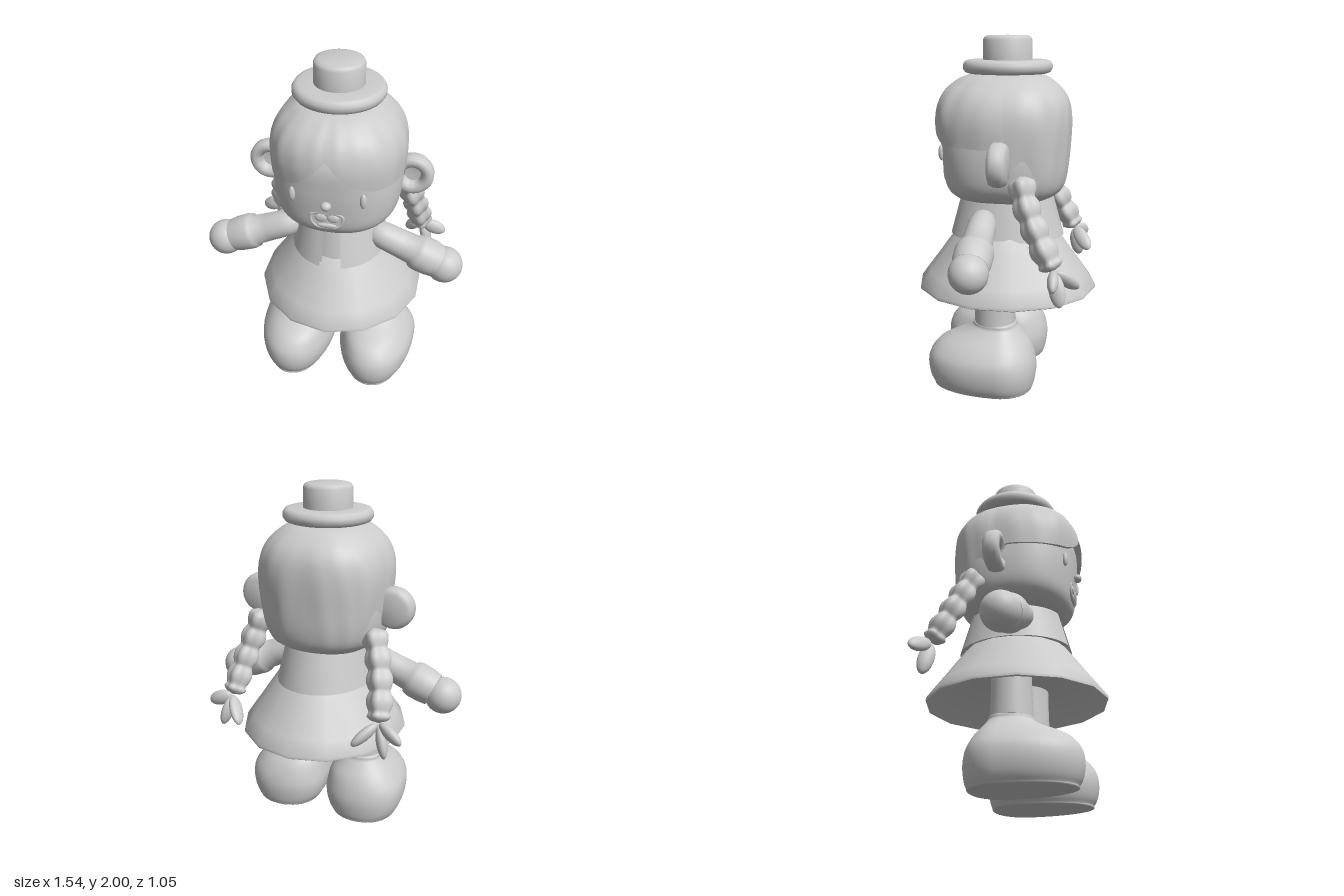
import * as THREE from 'three';
import { toCreasedNormals } from 'three/addons/utils/BufferGeometryUtils.js';

const CX = 0.025; // centre line of the doll
const V = (x, y, z) => new THREE.Vector3(x, y, z);
const spow = (v, p) => Math.sign(v) * Math.abs(v) ** p;

// closed-around surface: fn(angle, v) -> Vector3, v running from bottom to top
function grid(fn, nu, nv) {
  const pos = [], idx = [];
  for (let j = 0; j <= nv; j++)
    for (let i = 0; i < nu; i++) {
      const p = fn((i / nu) * Math.PI * 2, j / nv);
      pos.push(p.x, p.y, p.z);
    }
  for (let j = 0; j < nv; j++)
    for (let i = 0; i < nu; i++) {
      const a = j * nu + i, b = j * nu + (i + 1) % nu;
      idx.push(a, b, b + nu, a, b + nu, a + nu);
    }
  const g = new THREE.BufferGeometry();
  g.setAttribute('position', new THREE.Float32BufferAttribute(pos, 3));
  g.setIndex(idx);
  g.computeVertexNormals();
  return g;
}

// smooth reading of rows [y, x centre, half width, back, front] at t in 0..1
function sample(rows, t) {
  const f = t * (rows.length - 1), i = Math.min(Math.floor(f), rows.length - 2), u = f - i;
  const at = k => rows[Math.max(0, Math.min(rows.length - 1, k))];
  return rows[0].map((_, c) => {
    const [a, b, d, e] = [at(i - 1)[c], at(i)[c], at(i + 1)[c], at(i + 2)[c]];
    return b + 0.5 * u * (d - a + u * (2 * a - 5 * b + 4 * d - e + u * (3 * (b - d) + e - a)));
  });
}
function ringPoint([y, x0, hx, zb, zf], a, e, scale = 1) {
  const s = spow(Math.sin(a), 2 / e) * scale, c = spow(Math.cos(a), 2 / e) * scale;
  return V(x0 + hx * s, y, c > 0 ? zf * c : -zb * c);
}
const loft = (rows, e, nu, nv) => grid((a, v) => ringPoint(sample(rows, v), a, e), nu, nv);

const lathe = (pts, n = 40, crease = 0.7, start = 0, len = Math.PI * 2) =>
  toCreasedNormals(new THREE.LatheGeometry(pts.map(p => new THREE.Vector2(...p)), n, start, len), crease);

export function createModel() {
  const grey = new THREE.MeshStandardMaterial({ color: 0xcccccc });
  const greyOpen = grey;
  greyOpen.side = THREE.DoubleSide;
  const model = new THREE.Group();
  const add = (name, geo, x = 0, y = 0, z = 0) => {
    const m = new THREE.Mesh(geo, grey);
    m.name = name;
    m.position.set(x, y, z);
    model.add(m);
    return m;
  };
  const aim = (m, from, to) =>
    m.quaternion.setFromUnitVectors(V(0, 1, 0), to.clone().sub(from).normalize());
  const ball = (name, p, r, sx = 1, sy = 1, sz = 1) => {
    const m = add(name, new THREE.SphereGeometry(r, 28, 20), p.x, p.y, p.z);
    m.scale.set(sx, sy, sz);
    return m;
  };

  // hat
  add('hatBrim', lathe([[0, -0.03], [0.22, -0.037], [0.24, -0.03], [0.253, -0.012], [0.253, 0.012],
    [0.24, 0.032], [0.22, 0.038], [0.13, 0.038]], 48, 0.9), CX - 0.005, 1.827, 0);
  add('hatCrown', lathe([[0.138, 0], [0.138, 0.125], [0.13, 0.142], [0.11, 0.149], [0, 0.151]], 48, 0.9),
    CX - 0.005, 1.849, 0);

  // head
  add('head', loft([[1.078, CX, 0, 0, 0], [1.08, CX, 0.2, -0.2, 0.24], [1.105, CX, 0.275, -0.26, 0.305],
    [1.16, CX, 0.333, -0.3, 0.343], [1.26, CX, 0.358, -0.33, 0.36], [1.4, CX, 0.36, -0.33, 0.372],
    [1.55, CX, 0.34, -0.32, 0.365], [1.68, CX, 0.25, -0.25, 0.27], [1.74, CX, 0, 0, 0]], 2.5, 64, 40));

  // hair: dome whose lower edge is parted in front and drops behind the ears
  const hairRows = [[1.08, CX, 0.22, -0.23, 0.28], [1.13, CX, 0.3, -0.31, 0.35], [1.22, CX, 0.345, -0.345, 0.38],
    [1.38, CX, 0.37, -0.36, 0.395], [1.54, CX, 0.376, -0.365, 0.408], [1.65, CX, 0.345, -0.345, 0.385],
    [1.73, CX, 0.28, -0.285, 0.32], [1.785, CX, 0.18, -0.19, 0.21], [1.8, CX, 0, 0, 0]];
  const tAtY = y => {
    let lo = 0, hi = 1;
    for (let k = 0; k < 24; k++) {
      const m = (lo + hi) / 2;
      if (sample(hairRows, m)[0] < y) lo = m; else hi = m;
    }
    return lo;
  };
  const hairEdge = d => THREE.MathUtils.lerp(1.405 + 0.2 * Math.exp(-d / 0.27), 1.082,
    THREE.MathUtils.smoothstep(d, 1.52, 1.72));
  add('hair', grid((a, v) => {
    const d = Math.min(a, Math.PI * 2 - a), t0 = tAtY(hairEdge(d));
    const w = Math.max(0, (v - 0.05) / 0.95), row = sample(hairRows, t0 + (1 - t0) * w);
    const strands = 0.008 * Math.sin(9 * d + 5 * row[0]) + 0.005 * Math.sin(17 * d - 7 * row[0]);
    const part = -0.03 * Math.exp(-((d / 0.08) ** 2));
    return ringPoint(row, a, 2.35, v === 0 ? 0.86 : 1 + (strands + part) * Math.sin(Math.PI * Math.min(1, w + 0.15)));
  }, 128, 40));

  // ears with a dished front
  const earGeo = lathe([[0, -0.05], [0.085, -0.05], [0.108, -0.04], [0.119, -0.015], [0.119, 0.025],
    [0.108, 0.045], [0.09, 0.051], [0.066, 0.048], [0.052, 0.03], [0.045, 0.005], [0, 0]], 40, 1);
  earGeo.rotateX(Math.PI / 2);
  for (const s of [1, -1]) {
    const side = s > 0 ? 'left' : 'right';
    add(side + 'Ear', earGeo, CX + s * 0.41, 1.338, -0.025);
    ball(side + 'Eye', V(CX + s * 0.192, 1.36, 0.343), 0.018, 1, 2.45, 0.9);
  }
  ball('nose', V(CX, 1.328, 0.382), 0.029, 1, 0.85, 0.9);

  // open mouth: rim, dark plate, teeth and tongue
  const rim = new THREE.CatmullRomCurve3([[-0.088, 0.03], [-0.06, 0.044], [0, 0.038], [0.06, 0.044], [0.088, 0.03],
    [0.08, -0.02], [0.05, -0.044], [0, -0.048], [-0.05, -0.044], [-0.08, -0.02]].map(p => V(p[0], p[1], 0)), true);
  add('mouthRim', new THREE.TubeGeometry(rim, 64, 0.009, 8, true), CX - 0.002, 1.219, 0.352);
  add('mouthInside', new THREE.ShapeGeometry(new THREE.Shape(rim.getPoints(48).map(p => new THREE.Vector2(p.x, p.y)))),
    CX - 0.002, 1.219, 0.356);
  for (const s of [1, -1]) ball('tooth', V(CX + s * 0.034, 1.235, 0.356), 0.03, 1.1, 0.85, 0.35);
  ball('tongue', V(CX, 1.186, 0.356), 0.05, 1.1, 0.3, 0.22);

  // shirt, open jacket and flared skirt
  const shirt = add('shirt', lathe([[0.285, 0.84], [0.24, 1.1], [0, 1.1]], 40), 0.035);
  const gap = 0.22;
  const jacket = add('jacket', lathe([[0.3, 0.872], [0.332, 0.868], [0.268, 1.1], [0.24, 1.1], [0.3, 0.872]],
    48, 0.7, gap, Math.PI * 2 - 2 * gap), 0.032);
  const skirt = add('skirt', lathe([[0, 0.72], [0.36, 0.7], [0.5, 0.565], [0.518, 0.55], [0.526, 0.555], [0.526, 0.572],
    [0.47, 0.65], [0.41, 0.73], [0.36, 0.8], [0.285, 0.9]], 14, 0.8), 0.042);
  shirt.scale.x = jacket.scale.x = 0.85;
  skirt.scale.x = 0.925;

  // arms, hands, legs and boots
  const sleeveGeo = lathe([[0, -0.02], [0.045, -0.01], [0.07, 0.025], [0.08, 0.08], [0.083, 0.18], [0.088, 0.27],
    [0.102, 0.285], [0.108, 0.31], [0.106, 0.38], [0.098, 0.43], [0, 0.43]], 36, 0.9);
  const bootRows = [[0.003, 0, 0, 0, 0], [0.003, 0, 0.17, -0.17, 0.35], [0.02, 0, 0.2, -0.195, 0.385],
    [0.07, 0, 0.225, -0.208, 0.41], [0.14, 0, 0.237, -0.213, 0.42], [0.21, 0, 0.228, -0.2, 0.405],
    [0.28, -0.012, 0.196, -0.17, 0.345], [0.34, -0.02, 0.148, -0.125, 0.215], [0.375, -0.025, 0.122, -0.098, 0.16],
    [0.4, -0.025, 0.11, -0.085, 0.14], [0.405, -0.025, 0, 0, 0]];
  for (const s of [1, -1]) {
    const side = s > 0 ? 'left' : 'right';
    const shoulder = V(s * 0.22 + 0.01, 1.0, 0.095), hand = V(s * 0.664, 0.808, 0.09);
    aim(add(side + 'Sleeve', sleeveGeo, shoulder.x, shoulder.y, shoulder.z), shoulder, hand);
    ball(side + 'Hand', hand, 0.107);
    add(side + 'Leg', lathe([[0, 0.385], [0.118, 0.395], [0.118, 0.41], [0.112, 0.56], [0.112, 0.73]], 32),
      0.03 + s * 0.228, 0, 0.03);
    const rows = bootRows.map(([y, x, ...r]) => [y, 0.03 + s * (0.253 + x), ...r]);
    add(side + 'Boot', loft(rows, 2.15, 40, 40));
  }

  // braids: lobed tubes ending in three leaf-like tufts
  const braids = [
    ['left', [[0.37, 1.27, -0.13], [0.42, 1.12, -0.17], [0.46, 0.96, -0.24], [0.49, 0.79, -0.33]],
      [[0.635, 0.73, -0.34], [0.54, 0.61, -0.37], [0.39, 0.67, -0.45]]],
    ['right', [[-0.31, 1.25, -0.15], [-0.36, 1.11, -0.21], [-0.4, 0.95, -0.28], [-0.425, 0.79, -0.36]],
      [[-0.57, 0.72, -0.425], [-0.47, 0.6, -0.39], [-0.31, 0.68, -0.46]]],
  ];
  for (const [side, path, tips] of braids) {
    const curve = new THREE.CatmullRomCurve3(path.map(p => V(...p))), n = 48;
    const fr = curve.computeFrenetFrames(n);
    add(side + 'Braid', grid((a, v) => {
      const k = Math.round(v * n), end = Math.min(1, Math.sqrt(Math.max(0, Math.sin(Math.PI * v)) * 5));
      const r = 0.066 * end * (0.78 + 0.26 * Math.abs(Math.sin(Math.PI * 4.5 * v))) * (1 + 0.13 * Math.cos(4 * a));
      return curve.getPointAt(v).addScaledVector(fr.normals[k], r * Math.cos(a))
        .addScaledVector(fr.binormals[k], r * Math.sin(a));
    }, 32, n));
    const root = V(...path[3]);
    for (const tip of tips) {
      const end = V(...tip), len = root.distanceTo(end);
      const tuft = ball(side + 'BraidTuft', root.clone().lerp(end, 0.54), 0.5, 0.09, len * 0.98, 0.06);
      aim(tuft, root, end);
    }
  }
  return model;
}
